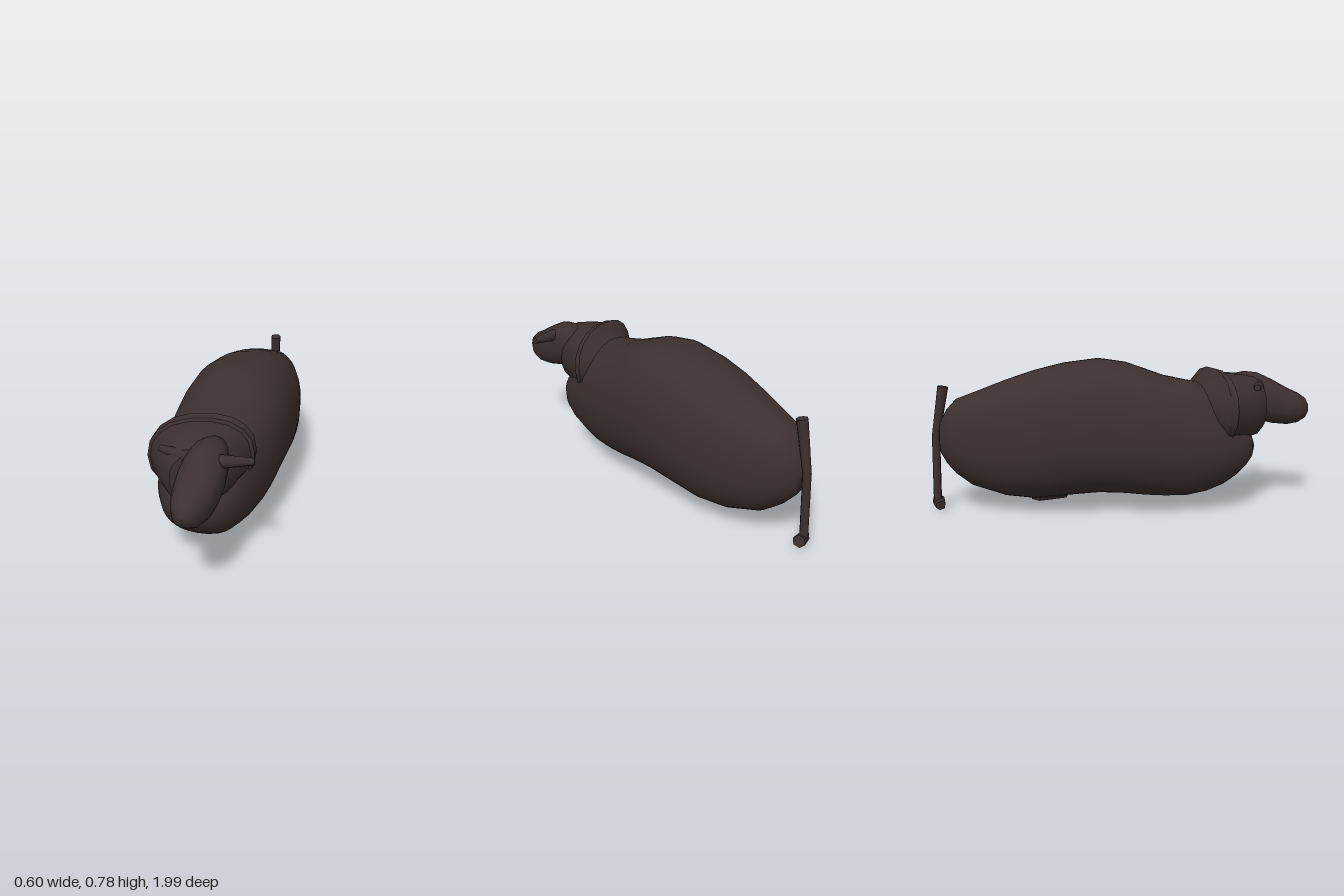
import * as THREE from 'three';
import { toCreasedNormals } from 'three/addons/utils/BufferGeometryUtils.js';

// Loft of rounded cross-sections, back to front.
// Section: [z, centre x, bottom y, top y, half width, z slope across x, narrowing of upper half]
function loft(sections, sides, power = 2, crease = 0) {
  const pos = [], index = [];
  const round = (v) => Math.sign(v) * Math.abs(v) ** (2 / power);
  sections.forEach(([z, cx, y0, y1, w, slope = 0, taper = 0], i) => {
    for (let j = 0; j < sides; j++) {
      const a = (j / sides) * Math.PI * 2;
      const rise = round(Math.sin(a));
      const x = w * round(Math.cos(a)) * (1 - taper * Math.max(0, rise));
      pos.push(cx + x, (y0 + y1) / 2 + ((y1 - y0) / 2) * rise, z + slope * x);
      if (i === sections.length - 1) continue;
      const k = (j + 1) % sides, p = i * sides, q = p + sides;
      index.push(p + j, p + k, q + k, p + j, q + k, q + j);
    }
  });
  const geo = new THREE.BufferGeometry();
  geo.setAttribute('position', new THREE.Float32BufferAttribute(pos, 3));
  geo.setIndex(index);
  geo.computeVertexNormals();
  return crease ? toCreasedNormals(geo, crease) : geo;
}

export function createModel() {
  const group = new THREE.Group();
  const hide = new THREE.MeshStandardMaterial({ color: 0x3b302f });
  hide.name = 'dark brown hide';
  const add = (name, geo) => {
    const mesh = new THREE.Mesh(geo, hide);
    mesh.name = name;
    group.add(mesh);
    return mesh;
  };
  // Tapered rod between two points
  const rod = (name, from, to, r0, r1, sides) => {
    const a = new THREE.Vector3(...from), b = new THREE.Vector3(...to);
    const dir = b.clone().sub(a);
    const mesh = add(name, new THREE.CylinderGeometry(r1, r0, dir.length(), sides));
    mesh.position.copy(a).add(b).multiplyScalar(0.5);
    mesh.quaternion.setFromUnitVectors(new THREE.Vector3(0, 1, 0), dir.normalize());
  };

  // Long barrel body, narrowing at the shoulders
  add('body', loft([
    [-0.945, -0.02, 0.379, 0.381, 0.001],
    [-0.93, -0.02, 0.29, 0.46, 0.06],
    [-0.9, -0.02, 0.24, 0.52, 0.10],
    [-0.85, -0.02, 0.185, 0.575, 0.14],
    [-0.77, -0.015, 0.125, 0.605, 0.175],
    [-0.6, -0.01, 0.07, 0.67, 0.225],
    [-0.45, -0.01, 0.055, 0.72, 0.255],
    [-0.3, -0.01, 0.07, 0.757, 0.273],
    [-0.12, -0.01, 0.085, 0.78, 0.285],
    [0.02, -0.012, 0.08, 0.76, 0.285],
    [0.12, -0.013, 0.07, 0.725, 0.282],
    [0.22, -0.015, 0.065, 0.69, 0.274],
    [0.33, -0.017, 0.065, 0.668, 0.257, 0, 0.06],
    [0.43, -0.017, 0.085, 0.65, 0.237, 0, 0.14],
    [0.52, -0.012, 0.12, 0.57, 0.212, 0, 0.16],
    [0.59, -0.005, 0.165, 0.48, 0.177, 0, 0.12],
    [0.64, 0, 0.21, 0.425, 0.14],
    [0.675, 0, 0.255, 0.385, 0.095],
    [0.69, 0, 0.295, 0.345, 0.045],
    [0.695, 0, 0.319, 0.321, 0.001],
  ], 32, 2.35));

  // Collared neck, turned slightly toward the model's left
  add('neck', loft([
    [0.36, -0.012, 0.42, 0.64, 0.14, -0.32],
    [0.415, -0.012, 0.39, 0.68, 0.2, -0.32],
    [0.46, -0.01, 0.345, 0.732, 0.236, -0.32],
    [0.495, -0.01, 0.342, 0.722, 0.236, -0.32],
    [0.502, -0.01, 0.352, 0.708, 0.222, -0.32],
    [0.6, 0.01, 0.355, 0.698, 0.178, -0.3],
    [0.685, 0.025, 0.37, 0.68, 0.132, -0.28],
    [0.72, 0.03, 0.4, 0.645, 0.1, -0.25],
    [0.727, 0.035, 0.519, 0.521, 0.002, -0.2],
  ], 18, 2.25, 0.6));

  // Head drooping to a blunt snout
  add('head', loft([
    [0.55, 0.085, 0.58, 0.64, 0.03],
    [0.58, 0.085, 0.53, 0.685, 0.065],
    [0.65, 0.083, 0.47, 0.7, 0.09],
    [0.72, 0.082, 0.44, 0.692, 0.1],
    [0.8, 0.082, 0.422, 0.655, 0.103],
    [0.88, 0.082, 0.415, 0.61, 0.093],
    [0.94, 0.082, 0.425, 0.583, 0.073],
    [0.98, 0.082, 0.45, 0.555, 0.05],
    [0.995, 0.082, 0.475, 0.525, 0.025],
    [1.0, 0.082, 0.499, 0.501, 0.001],
  ], 20, 2.3));

  // Horns
  for (const s of [1, -1]) {
    rod(s > 0 ? 'leftHorn' : 'rightHorn',
      [0.083 + s * 0.07, 0.632, 0.71], [0.083 + s * 0.216, 0.64, 0.68], 0.033, 0.016, 8);
  }

  // Tail in two straight lengths, with a blunt tuft
  rod('upperTail', [-0.02, 0.64, -0.913], [-0.03, 0.38, -0.958], 0.028, 0.021, 8);
  rod('lowerTail', [-0.03, 0.39, -0.957], [-0.045, 0.03, -0.96], 0.021, 0.021, 8);
  rod('tailTuft', [-0.078, 0.025, -0.94], [-0.005, 0.038, -0.965], 0.026, 0.032, 6);

  // Low swelling under the belly
  add('udder', loft([
    [-0.47, -0.04, 0.045, 0.08, 0.02],
    [-0.43, -0.04, 0.035, 0.1, 0.05],
    [-0.29, -0.04, 0.055, 0.1, 0.05],
    [-0.28, -0.04, 0.07, 0.09, 0.02],
  ], 8, 2, 0.5));

  return group;
}
